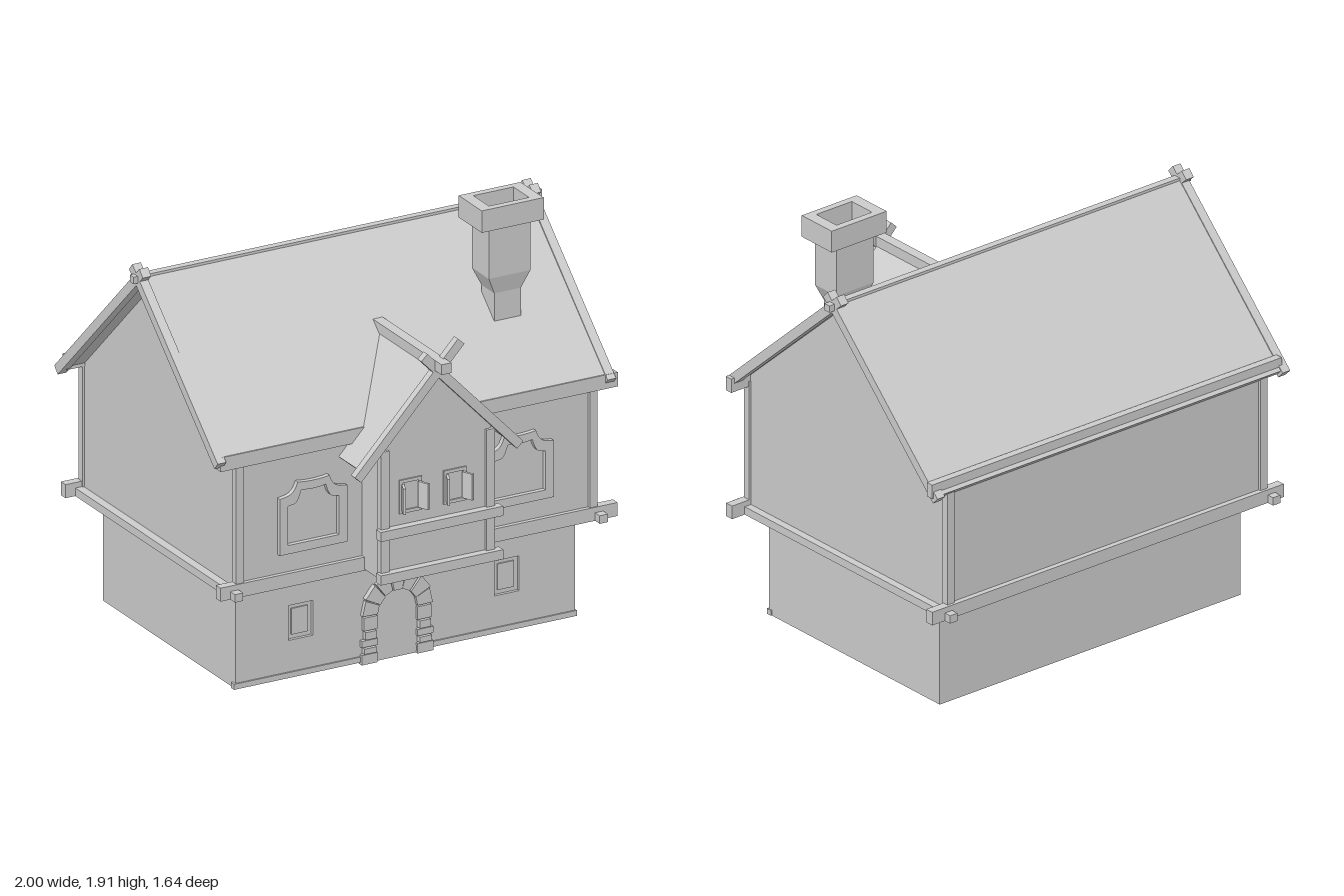
import * as THREE from 'three';

export function createModel() {
  const house = new THREE.Group();
  house.name = 'house';
  const mat = new THREE.MeshStandardMaterial({ color: 0xcccccc, flatShading: true, side: THREE.DoubleSide });

  const add = (name, geo, parent = house) => {
    const m = new THREE.Mesh(geo, mat);
    m.name = name;
    parent.add(m);
    return m;
  };
  // Box given by its limits on each axis
  const box = (name, x0, x1, y0, y1, z0, z1) => {
    const m = add(name, new THREE.BoxGeometry(x1 - x0, y1 - y0, z1 - z0));
    m.position.set((x0 + x1) / 2, (y0 + y1) / 2, (z0 + z1) / 2);
    return m;
  };
  const poly = (pts) => new THREE.Shape(pts.map(([x, y]) => new THREE.Vector2(x, y)));
  const extrude = (shape, z0, z1) =>
    new THREE.ExtrudeGeometry(shape, { depth: z1 - z0, bevelEnabled: false, curveSegments: 6 }).translate(0, 0, z0);
  // Outline of a straight bar of thickness t between two points
  const bar = ([ax, ay], [bx, by], t) => {
    const l = Math.hypot(bx - ax, by - ay);
    const nx = (-(by - ay) / l) * t / 2, ny = ((bx - ax) / l) * t / 2;
    return poly([[ax + nx, ay + ny], [ax - nx, ay - ny], [bx - nx, by - ny], [bx + nx, by + ny]]);
  };
  // Profile points are (z, y), extruded along x
  const alongX = (name, shape, x0, x1) => add(name, extrude(shape, x0, x1).rotateY(Math.PI / 2));
  const zy = (z, y) => [-z, y];

  // Ground floor, with recessed openings in the front wall
  box('groundFloor', -0.82, 0.845, 0.01, 0.5, -0.66, 0.465);
  const wall = poly([[-0.82, 0.01], [0.845, 0.01], [0.845, 0.5], [-0.82, 0.5]]);
  for (const x of [-0.56, 0.45]) {
    wall.holes.push(poly([[x, 0.18], [x + 0.12, 0.18], [x + 0.12, 0.34], [x, 0.34]]));
    box('groundWindow', x + 0.02, x + 0.1, 0.2, 0.32, 0.46, 0.472);
  }
  add('groundFrontWall', extrude(wall, 0.465, 0.48));
  box('plinthLeft', 0.06, 0.85, 0.01, 0.035, 0.46, 0.487);
  box('plinthRight', -0.83, -0.13, 0.01, 0.035, 0.46, 0.487);

  // Door and its stone arch
  const doorX = -0.035;
  box('door', doorX - 0.1, doorX + 0.1, 0, 0.22, 0.46, 0.483);
  add('doorTop', new THREE.CylinderGeometry(0.1, 0.1, 0.023, 16, 1, false, Math.PI / 2, Math.PI)
    .rotateX(Math.PI / 2).rotateZ(0).translate(doorX, 0.22, 0.4715));
  const jambs = [[0, 0.045, 0.175], [0.05, 0.075, 0.165], [0.08, 0.11, 0.175], [0.115, 0.15, 0.16], [0.155, 0.215, 0.165]];
  for (const s of [-1, 1]) {
    jambs.forEach(([y0, y1, w], i) => {
      const a = doorX + s * (0.098 + (i % 2) * 0.008), b = doorX + s * w;
      box('jambStone', Math.min(a, b), Math.max(a, b), y0, y1, 0.47, 0.498 + (i % 2) * 0.006);
    });
  }
  for (let i = 0; i < 7; i++) {
    const a0 = (i / 7) * Math.PI + 0.02, a1 = ((i + 1) / 7) * Math.PI - 0.02;
    const r = i === 3 ? 0.193 : 0.172 + (i % 2) * 0.006;
    const p = (a, q) => [doorX + Math.cos(a) * q, 0.22 + Math.sin(a) * q];
    add('archStone', extrude(poly([p(a0, 0.098), p(a0, r), p(a1, r), p(a1, 0.098)]), 0.47, 0.5 + (i % 2) * 0.005));
  }

  // Upper floor with both gables in one profile
  alongX('upperFloor', poly([zy(0.57, 0.485), zy(-0.76, 0.485), zy(-0.76, 1.08), zy(-0.095, 1.705), zy(0.57, 1.12)]), -0.865, 0.885);

  // Timber frame: sills, posts and eave beams
  for (const [z0, z1] of [[0.55, 0.59], [-0.785, -0.745]]) {
    box('sillBeam', -0.955, 0.99, 0.478, 0.54, z0, z1);
  }
  box('frontEaveBeam', -0.955, 0.99, 1.075, 1.14, 0.555, 0.592);
  box('backEaveBeam', -0.955, 0.98, 1.07, 1.135, -0.772, -0.737);
  for (const x of [-0.887, 0.9]) box('sideSillBeam', x - 0.02, x + 0.02, 0.478, 0.515, -0.82, 0.63);
  for (const x of [-0.875, 0.857]) {
    box('frontPost', x, x + 0.038, 0.5, 1.1, 0.55, 0.585);
    box('backPost', x, x + 0.038, 0.5, 1.1, -0.772, -0.74);
  }

  // Main roof, verge beams crossing at the ridge, ridge pole
  const ridge = zy(-0.095, 1.725);
  const slopes = [
    [zy(0.58, 1.125), zy(-0.14, 1.765), zy(0.596, 1.107)],
    [zy(-0.775, 1.07), zy(-0.05, 1.765), zy(-0.783, 1.06)],
  ];
  for (const [eave, tip, foot] of slopes) {
    alongX('roofSlope', bar(eave, ridge, 0.03), -0.945, 0.935);
    for (const x of [-0.98, 0.93]) alongX('vergeBeam', bar(foot, tip, 0.043), x, x + 0.042);
  }
  box('ridgePole', -1, 1, 1.71, 1.742, -0.112, -0.078);

  // Dormer: body, roof, crossed verge beams and ridge pole
  add('dormerBody', extrude(poly([[-0.25, 0.485], [0.285, 0.485], [0.285, 1.11], [0.02, 1.395], [-0.25, 1.11]]), 0.45, 0.738));
  const peak = [0.02, 1.412];
  for (const [eave, tip, foot] of [
    [[-0.355, 1.01], [0.125, 1.52], [-0.38, 0.982]],
    [[0.38, 1.015], [-0.055, 1.48], [0.414, 0.985]],
  ]) {
    add('dormerRoofSlope', extrude(bar(eave, peak, 0.026), 0.2, 0.735));
    add('dormerVergeBeam', extrude(bar(foot, tip, 0.042), 0.73, 0.765));
  }
  box('dormerRidgePole', -0.003, 0.045, 1.41, 1.457, 0.2, 0.82);
  for (const y of [0.48, 0.68]) box('dormerCrossBeam', -0.275, 0.325, y, y + 0.044, 0.735, 0.775);
  for (const x of [-0.26, 0.257]) box('dormerPost', x, x + 0.04, 0.5, 1.08, 0.72, 0.752);

  // Dormer windows with open shutters
  for (const x of [-0.11, 0.107]) {
    const frame = poly([[x - 0.055, 0.775], [x + 0.055, 0.775], [x + 0.055, 0.93], [x - 0.055, 0.93]]);
    frame.holes.push(poly([[x - 0.04, 0.79], [x + 0.04, 0.79], [x + 0.04, 0.915], [x - 0.04, 0.915]]));
    add('dormerWindowFrame', extrude(frame, 0.73, 0.745));
    for (const s of [-1, 1]) {
      const shutter = box('shutter', x + s * 0.049 - 0.006, x + s * 0.049 + 0.006, 0.79, 0.91, 0.742, 0.795);
      shutter.rotation.y = s * 0.4;
    }
  }

  // Shaped windows on either side of the dormer
  const outline = (w, y0, y1, top, neck) => {
    const s = new THREE.Shape();
    s.moveTo(-w, y0);
    s.lineTo(w, y0);
    s.lineTo(w, y1);
    s.lineTo(w - 0.03, y1 + 0.005);
    s.quadraticCurveTo(neck + 0.015, y1 + 0.01, neck, top);
    s.quadraticCurveTo(0, top - 0.012, -neck, top);
    s.quadraticCurveTo(-neck - 0.015, y1 + 0.01, -w + 0.03, y1 + 0.005);
    s.lineTo(-w, y1);
    return s;
  };
  for (const x of [-0.5, 0.512]) {
    const frame = outline(0.165, 0.63, 0.89, 0.953, 0.078);
    frame.holes.push(outline(0.125, 0.67, 0.85, 0.915, 0.06));
    add('shapedWindowFrame', extrude(frame, 0.56, 0.592)).position.x = x;
  }

  // Chimney: flared stack and open cap, hollow at the top
  const cx = 0.602, cz = 0.27;
  const rings = [[0.065, 0.055, 1.25], [0.065, 0.055, 1.5], [0.102, 0.073, 1.58], [0.102, 0.073, 1.812],
    [0.152, 0.1, 1.812], [0.152, 0.1, 1.913], [0.098, 0.067, 1.913], [0.098, 0.067, 1.8], [0, 0, 1.8]];
  const pos = [], idx = [];
  rings.forEach(([w, d, y], i) => {
    for (const [sx, sz] of [[-1, 1], [1, 1], [1, -1], [-1, -1]]) pos.push(cx + sx * w, y, cz + sz * d);
    if (!i) return;
    for (let k = 0; k < 4; k++) {
      const a = (i - 1) * 4 + k, b = (i - 1) * 4 + (k + 1) % 4;
      idx.push(a, b, b + 4, a, b + 4, a + 4);
    }
  });
  const chimney = new THREE.BufferGeometry();
  chimney.setAttribute('position', new THREE.Float32BufferAttribute(pos, 3));
  chimney.setIndex(idx);
  const flat = chimney.toNonIndexed();
  flat.computeVertexNormals();
  add('chimney', flat);

  return house;
}
